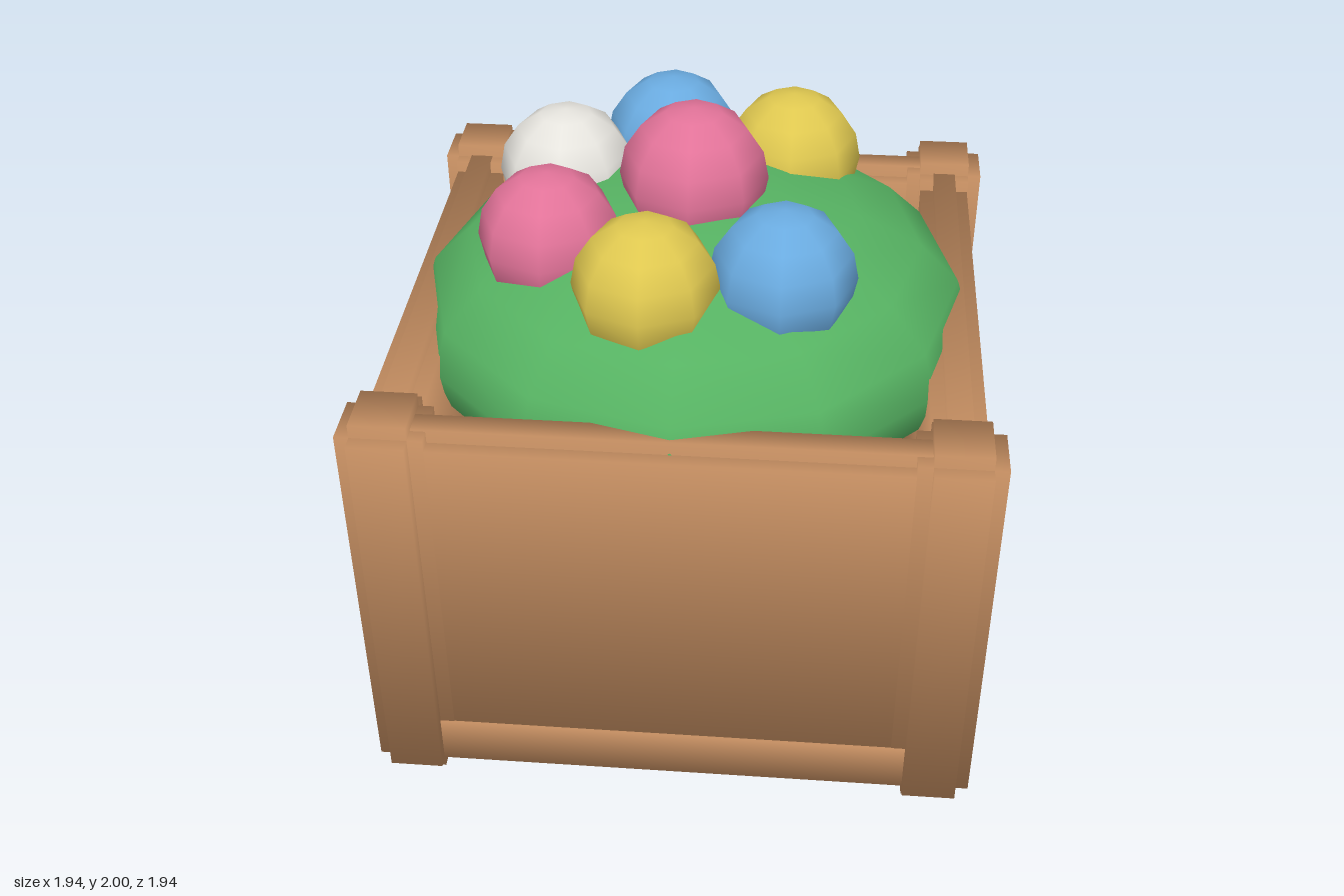
import * as THREE from 'three';

const mat = (name, color) => {
  const m = new THREE.MeshStandardMaterial({ color });
  m.name = name;
  return m;
};

export function createModel() {
  const group = new THREE.Group();
  const wood = mat('wood', 0xc68f62);
  const green = mat('leaf green', 0x56b262);
  const pink = mat('pink', 0xe27399);
  const yellow = mat('yellow', 0xdfc850);
  const blue = mat('blue', 0x6aabe0);
  const white = mat('white', 0xe6e4de);
  const BEVEL = 0.045;

  // Box whose normals point out through its corners, for soft shading
  const softBox = (w, h, d) => {
    const g = new THREE.BoxGeometry(w, h, d);
    const p = g.attributes.position, n = g.attributes.normal;
    const v = new THREE.Vector3();
    for (let i = 0; i < p.count; i++) {
      v.set(Math.sign(p.getX(i)), Math.sign(p.getY(i)), Math.sign(p.getZ(i))).normalize();
      n.setXYZ(i, v.x, v.y, v.z);
    }
    return g;
  };

  // Board with stepped edges: each pair of faces stands out from the others
  const board = (name, w, h, d, x, y, z, turn = 0) => {
    const part = new THREE.Group();
    part.name = name;
    const b = BEVEL * 2;
    for (const size of [[w, h - b, d - b], [w - b, h, d - b], [w - b, h - b, d]]) {
      const m = new THREE.Mesh(softBox(...size), wood);
      m.name = name + 'Block';
      part.add(m);
    }
    part.position.set(x, y, z);
    part.rotation.y = turn;
    group.add(part);
  };

  // Planter: floor, four walls and four corner posts
  board('floor', 1.86, 0.26, 1.86, 0, 0.13, 0);
  for (let i = 0; i < 4; i++) {
    const a = i * Math.PI / 2;
    board('wall', 1.68, 1.3, 0.166, 0.84 * Math.sin(a), 0.73, 0.84 * Math.cos(a), a);
  }
  for (const x of [-0.84, 0.84]) {
    for (const z of [-0.84, 0.84]) board('cornerPost', 0.26, 1.42, 0.26, x, 0.71, z);
  }

  // Flattened mound of foliage
  const bush = new THREE.Mesh(new THREE.SphereGeometry(0.9, 12, 10), green);
  bush.name = 'bush';
  bush.scale.y = 0.46 / 0.9;
  bush.position.y = 1.27;
  group.add(bush);

  // Blossoms: one on top and six of seven places around it
  const blossom = (r, x, y, z, material) => {
    const m = new THREE.Mesh(new THREE.SphereGeometry(r, 8, 8), material);
    m.name = 'blossom';
    m.position.set(x, y, z);
    group.add(m);
  };
  blossom(0.235, 0, 1.765, 0, pink);
  [blue, yellow, pink, white, blue, yellow].forEach((material, i) => {
    const a = (i + 1) * Math.PI * 2 / 7;
    blossom(0.225, 0.48 * Math.cos(a), 1.645, 0.48 * Math.sin(a), material);
  });

  return group;
}
